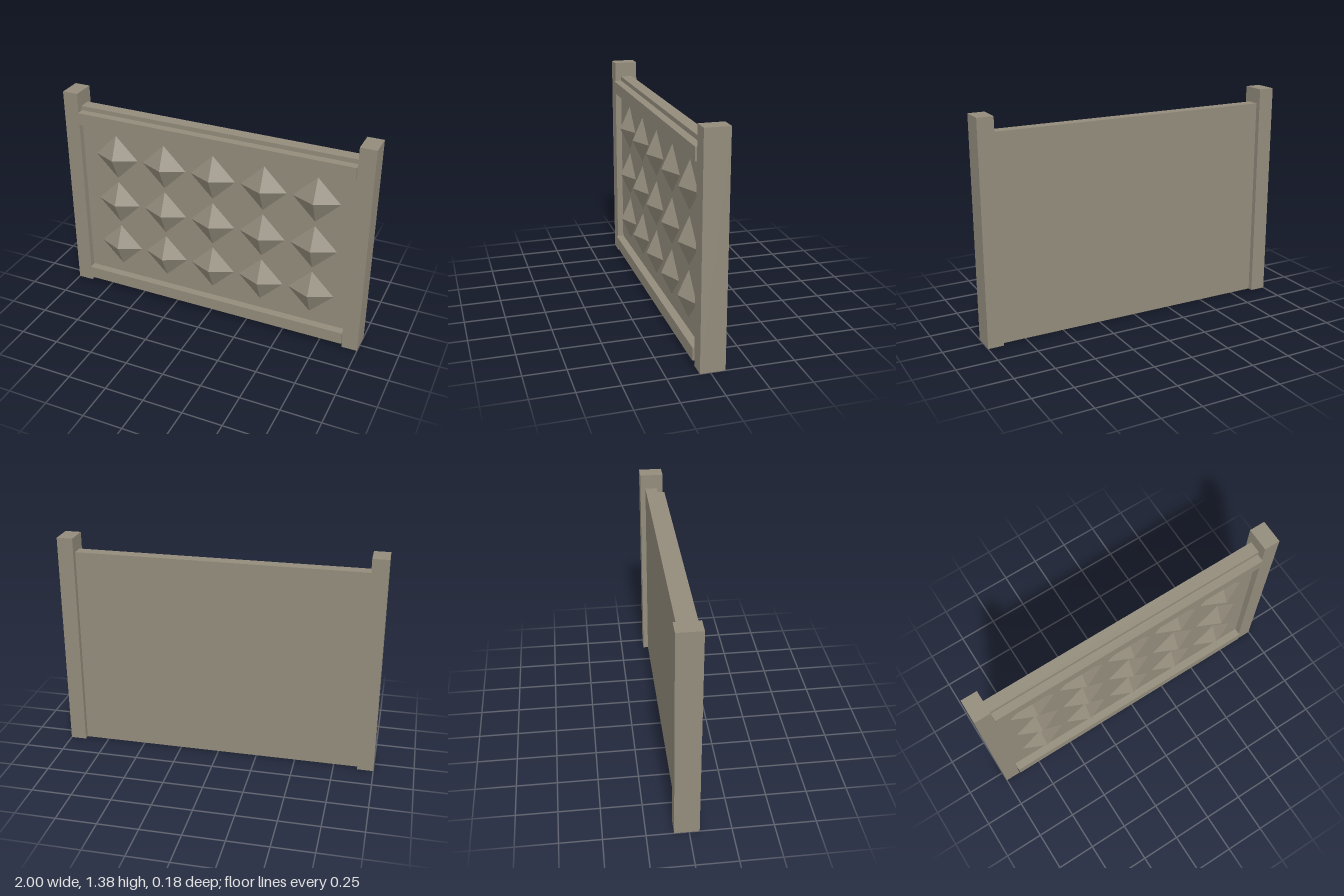
import * as THREE from 'three';

export function createModel() {
  const group = new THREE.Group();
  group.name = 'fencePanel';
  const concrete = new THREE.MeshStandardMaterial({ color: 0x938c7c });
  concrete.name = 'concrete';

  // Box given by its lower and upper corners
  function box(name, x0, x1, y0, y1, z0, z1) {
    const mesh = new THREE.Mesh(new THREE.BoxGeometry(x1 - x0, y1 - y0, z1 - z0), concrete);
    mesh.position.set((x0 + x1) / 2, (y0 + y1) / 2, (z0 + z1) / 2);
    mesh.name = name;
    group.add(mesh);
  }

  // Slab between two taller posts
  box('slab', -0.9, 0.9, 0, 1.29, -0.055, 0.021);
  box('leftPost', 0.9, 1, 0, 1.385, -0.088, 0.061);
  box('rightPost', -1, -0.9, 0, 1.385, -0.088, 0.061);

  // Raised rails along the front
  box('topRail', -0.897, 0.897, 1.182, 1.262, 0.021, 0.072);
  box('bottomRail', -0.897, 0.897, 0.03, 0.11, 0.021, 0.072);

  // Grid of four-sided diamond studs, tips pointing forward
  const tip = 0.088, base = 0.021;
  const studShape = new THREE.ConeGeometry(0.148, tip - base, 4).toNonIndexed();
  studShape.rotateX(Math.PI / 2);
  studShape.computeVertexNormals();
  const studs = new THREE.Group();
  studs.name = 'diamondStuds';
  for (let row = 0; row < 3; row++) {
    for (let col = 0; col < 5; col++) {
      const stud = new THREE.Mesh(studShape, concrete);
      stud.position.set((col - 2) * 0.332, 0.328 + row * 0.326, (tip + base) / 2);
      stud.name = 'diamondStud';
      studs.add(stud);
    }
  }
  group.add(studs);
  return group;
}
